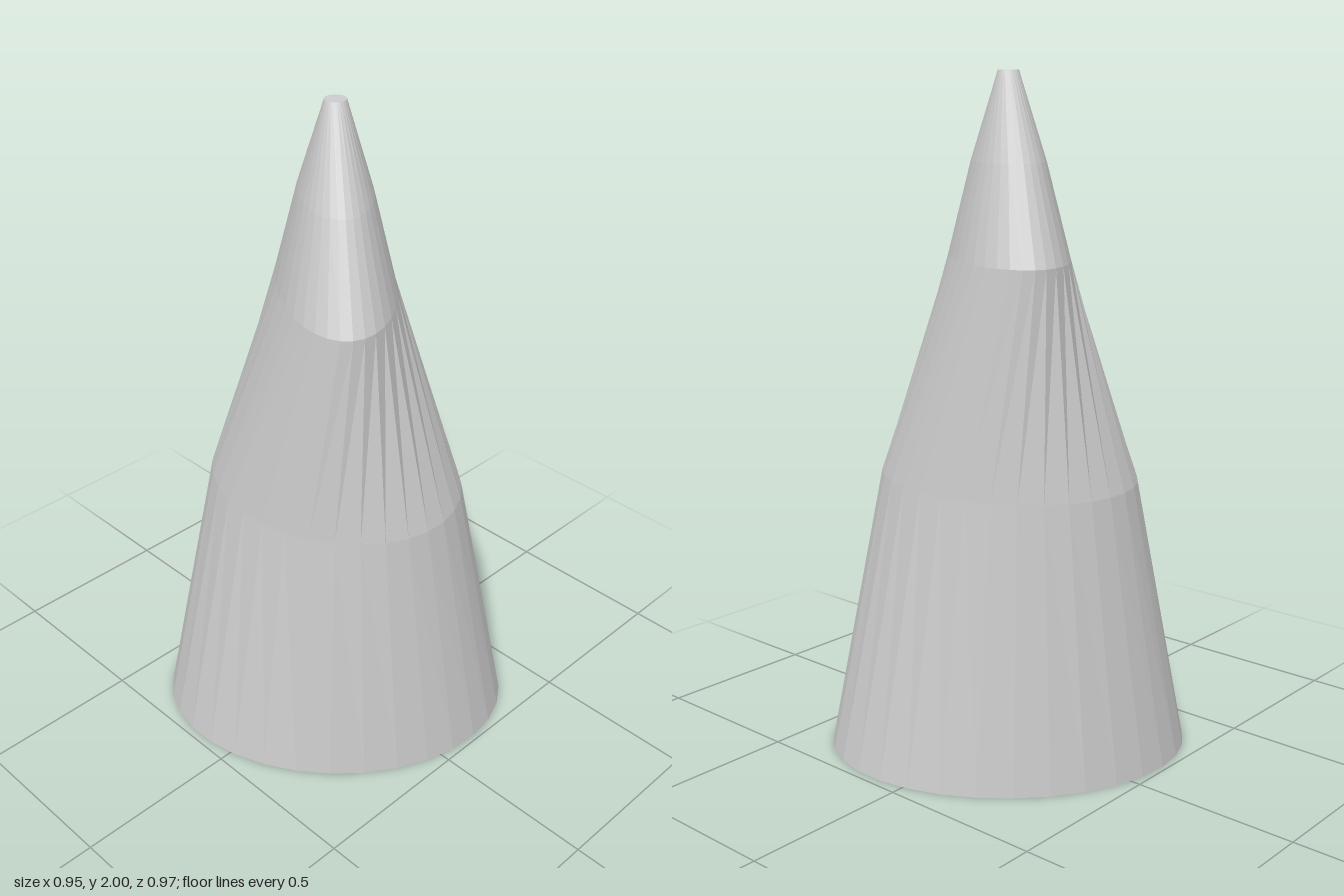
import * as THREE from 'three';

const SIDES = 32;
const rad = THREE.MathUtils.degToRad;

// Elliptical cross-sections from bottom to top: height, half axes,
// turn of the long axis (x towards z) and offset of the starting corner.
const rings = [
  { y: 0, a: 0.538, b: 0.414, turn: 47, start: 0 },
  { y: 0.84, a: 0.4, b: 0.335, turn: 86, start: -36 },
  { y: 1.48, a: 0.35, b: 0.167, turn: 128.5, start: -104 },
  { y: 1.75, a: 0.2, b: 0.103, turn: 128.5, start: -104 },
  { y: 2, a: 0.03, b: 0.03, turn: 128.5, start: -104 },
];

function corner({ y, a, b, turn, start }, i) {
  const t = rad(start) + (i / SIDES) * Math.PI * 2;
  const c = Math.cos(rad(turn)), s = Math.sin(rad(turn));
  const u = a * Math.cos(t), v = b * Math.sin(t);
  return [u * c - v * s, y, u * s + v * c];
}

// Faceted skin through a run of cross-sections, with optional end caps
function loft(name, sections, { bottom = false, top = false } = {}) {
  const pos = [];
  const tri = (...points) => points.forEach((p) => pos.push(...p));
  const first = sections[0], last = sections[sections.length - 1];
  for (let i = 0; i < SIDES; i++) {
    for (let k = 0; k + 1 < sections.length; k++) {
      const b0 = corner(sections[k], i), b1 = corner(sections[k], i + 1);
      const t0 = corner(sections[k + 1], i), t1 = corner(sections[k + 1], i + 1);
      tri(b0, t0, t1);
      tri(b0, t1, b1);
    }
    if (bottom) tri([0, first.y, 0], corner(first, i), corner(first, i + 1));
    if (top) tri([0, last.y, 0], corner(last, i + 1), corner(last, i));
  }
  const geometry = new THREE.BufferGeometry();
  geometry.setAttribute('position', new THREE.Float32BufferAttribute(pos, 3));
  geometry.computeVertexNormals();
  const material = new THREE.MeshStandardMaterial({ color: 0xcccccc, flatShading: true });
  const mesh = new THREE.Mesh(geometry, material);
  mesh.name = name;
  return mesh;
}

export function createModel() {
  const group = new THREE.Group();
  group.name = 'twistedSpire';
  group.add(
    loft('lowerBody', rings.slice(0, 2), { bottom: true }),
    loft('twistedUpperBody', rings.slice(1, 3)),
    loft('pointedTip', rings.slice(2), { top: true }),
  );
  return group;
}
